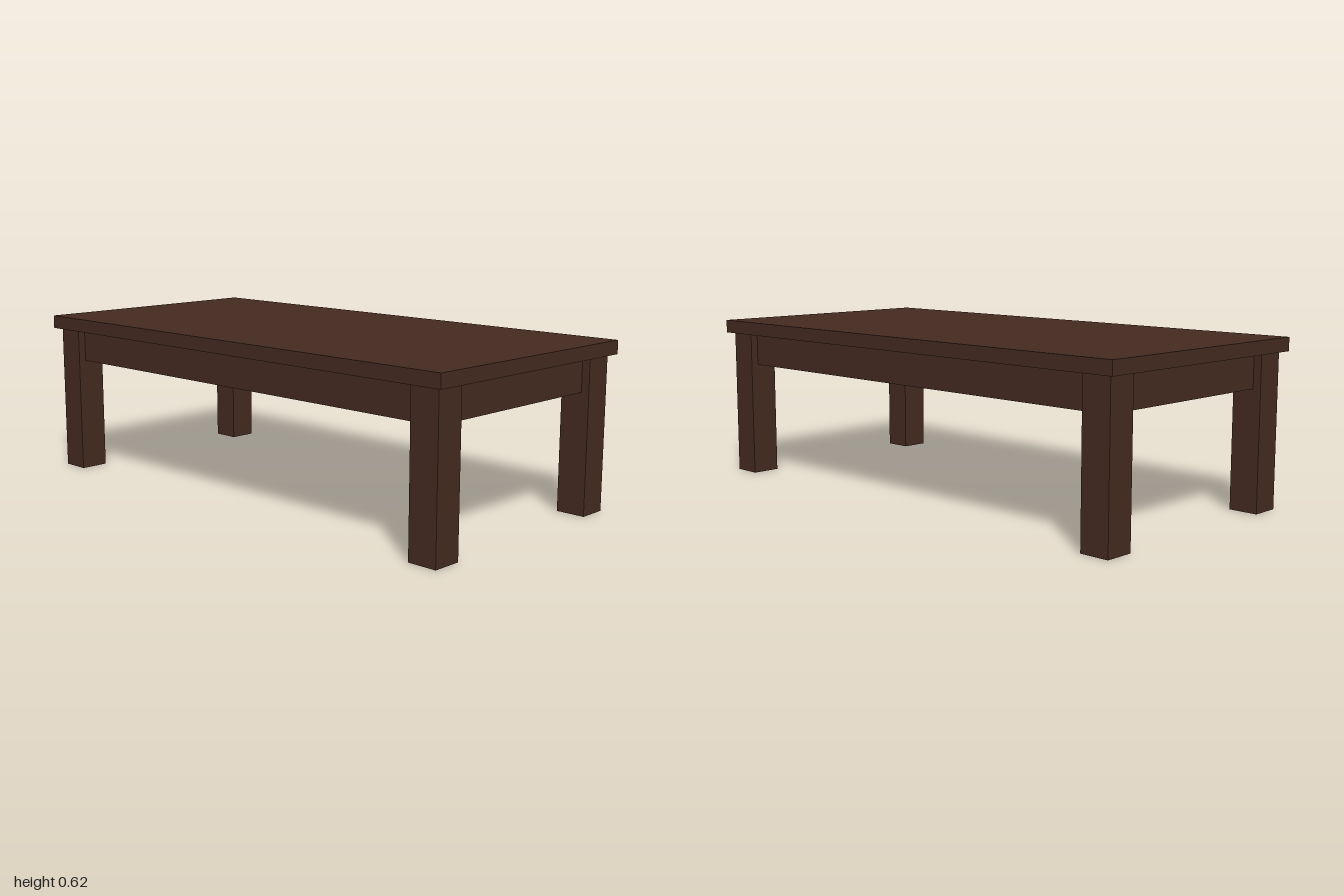
import * as THREE from 'three';

export function createModel() {
  const group = new THREE.Group();
  const darkWood = new THREE.MeshStandardMaterial({ color: 0x452b21 });
  darkWood.name = 'darkWood';

  // Box given by its size, its centre in x and z, and its bottom height
  function addBox(name, w, h, d, x, bottom, z) {
    const mesh = new THREE.Mesh(new THREE.BoxGeometry(w, h, d), darkWood);
    mesh.name = name;
    mesh.position.set(x, bottom + h / 2, z);
    group.add(mesh);
  }

  const topBottom = 0.565;

  // Table top slab
  addBox('tableTop', 2, 0.05, 0.975, 0, topBottom, 0);

  // Solid apron block, set back slightly from the outer leg faces
  addBox('apron', 1.89, 0.125, 0.87, 0, topBottom - 0.125, 0);

  // Four square legs
  for (const [sx, side] of [[1, 'Left'], [-1, 'Right']]) {
    for (const [sz, end] of [[1, 'front'], [-1, 'back']]) {
      addBox(end + side + 'Leg', 0.11, topBottom, 0.11, sx * 0.92, 0, sz * 0.409);
    }
  }

  return group;
}
